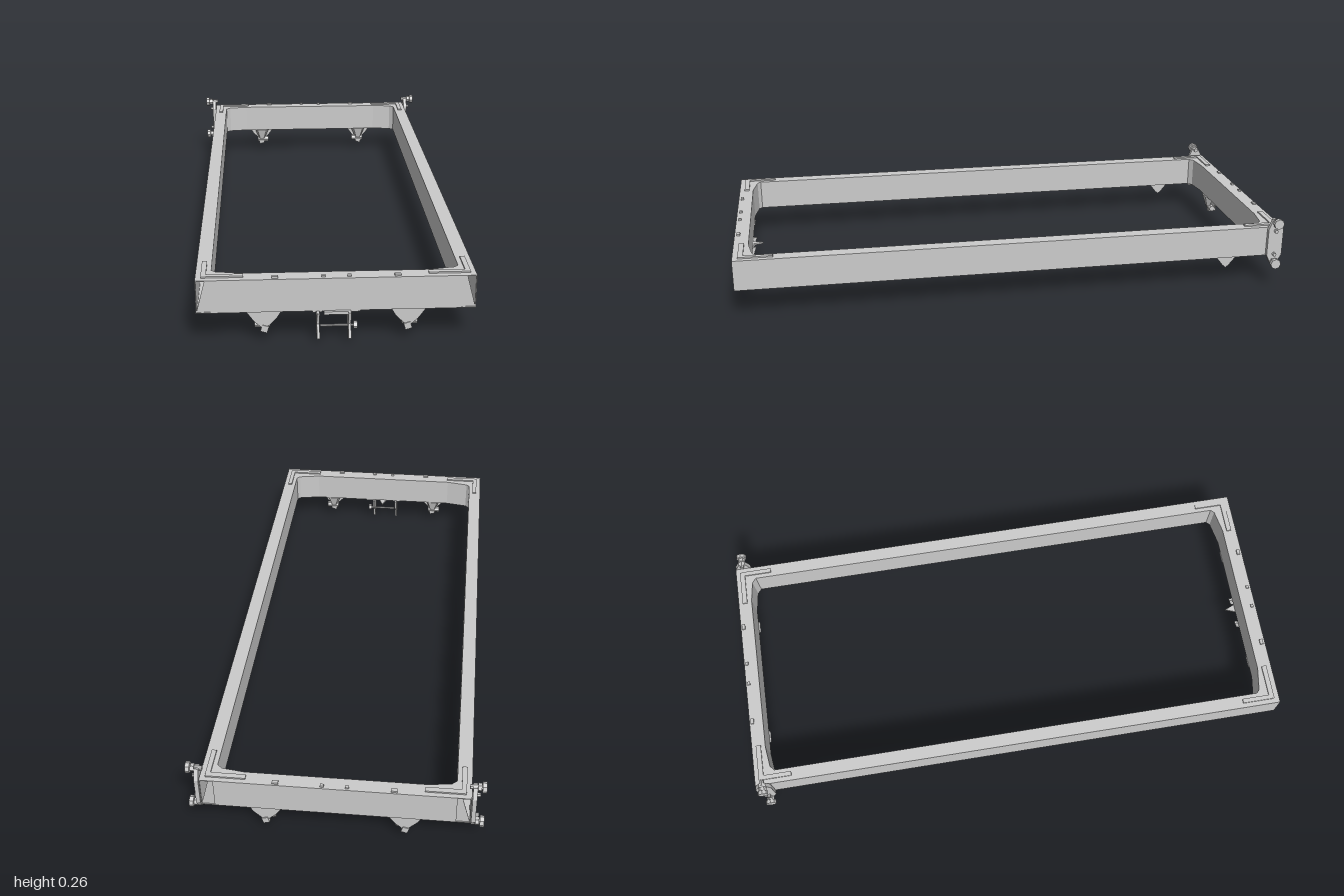
import * as THREE from 'three';

const mat = new THREE.MeshStandardMaterial({ color: 0xcccccc, flatShading: true, side: THREE.DoubleSide });
const BOTTOM = 0.105, TOP = 0.215, MID = 0.16, HEIGHT = 0.11;
const FRONT = 0.975, BACK = -0.995;

function add(parent, name, geometry, x = 0, y = 0, z = 0) {
  const mesh = new THREE.Mesh(geometry, mat);
  mesh.name = name;
  mesh.position.set(x, y, z);
  parent.add(mesh);
  return mesh;
}

const box = (parent, name, w, h, d, x, y, z) => add(parent, name, new THREE.BoxGeometry(w, h, d), x, y, z);

const polygon = (points) => new THREE.Shape(points.map(([x, y]) => new THREE.Vector2(x, y)));

function extrude(points, depth, hole) {
  const shape = polygon(points);
  if (hole) shape.holes.push(polygon(hole));
  return new THREE.ExtrudeGeometry(shape, { depth, bevelEnabled: false });
}

const rect = (x0, y0, x1, y1) => [[x0, y0], [x1, y0], [x1, y1], [x0, y1]];

// Cylinder lying along x
function pin(parent, name, r, length, x, y, z, sides = 8) {
  const mesh = add(parent, name, new THREE.CylinderGeometry(r, r, length, sides), x, y, z);
  mesh.rotation.z = Math.PI / 2;
  return mesh;
}

// Hanging bracket with a tapered body and a bolted knob, top at the origin
function hanger(name) {
  const g = new THREE.Group();
  g.name = name;
  const body = extrude([[-0.055, 0], [0.055, 0], [0.03, -0.035], [0.008, -0.055], [-0.015, -0.05], [-0.04, -0.025]], 0.008);
  add(g, 'bracketPlate', body, 0, 0, 0.012);
  const cone = add(g, 'bracketCone', new THREE.CylinderGeometry(0.035, 0.014, 0.045, 5), 0, -0.022, -0.008);
  cone.scale.z = 0.75;
  pin(g, 'bracketKnob', 0.012, 0.05, 0.005, -0.05, 0, 6);
  box(g, 'bracketNut', 0.022, 0.022, 0.03, -0.002, -0.06, 0.008).rotation.z = 0.3;
  return g;
}

// Vertical latch with spools at both ends, on the outside of a back corner
function cornerLatch() {
  const g = new THREE.Group();
  g.name = 'cornerLatch';
  const plate = extrude([[-0.012, 0.08], [0.012, 0.08], [0.03, 0.11], [0.03, 0.21],
    [0.012, 0.245], [-0.012, 0.245], [-0.026, 0.21], [-0.026, 0.11]], 0.014);
  add(g, 'latchPlate', plate, 0.437, 0, -0.965).rotation.y = Math.PI / 2;
  for (const y of [0.085, 0.24]) {
    pin(g, 'latchPin', 0.008, 0.05, 0.452, y, -0.965);
    pin(g, 'latchHead', 0.019, 0.014, 0.473, y, -0.965);
    pin(g, 'latchCollar', 0.014, 0.012, 0.458, y, -0.965, 6);
  }
  for (const y of [0.115, 0.205]) pin(g, 'latchBolt', 0.007, 0.014, 0.455, y, -0.965, 6);
  return g;
}

export function createModel() {
  const model = new THREE.Group();
  model.name = 'rectangularFrame';

  // Cross beams
  box(model, 'frontBeam', 0.78, HEIGHT, 0.052, 0, MID, FRONT - 0.026);
  box(model, 'backBeam', 0.78, HEIGHT, 0.05, 0, MID, BACK + 0.025);

  for (const s of [-1, 1]) {
    const half = new THREE.Group();
    half.name = s > 0 ? 'leftSide' : 'rightSide';
    model.add(half);
    const px = (pts) => pts.map(([x, y]) => [x * s, y]);

    // Hollow side rail
    const length = FRONT - BACK;
    add(half, 'sideRail', extrude(px(rect(0.387, BOTTOM, 0.435, TOP)), length,
      px(rect(0.39, BOTTOM + 0.003, 0.432, TOP - 0.003))), 0, 0, BACK);

    // Partial end caps leaving a wedge-shaped opening
    const cap = px([[0.385, BOTTOM], [0.434, BOTTOM], [0.405, TOP], [0.385, TOP]]);
    add(half, 'frontEndCap', extrude(cap, 0.003), 0, 0, FRONT - 0.006);
    add(half, 'backEndCap', extrude(cap, 0.003), 0, 0, BACK + 0.003);

    // Gussets in the inner corners (shape drawn in x and -z, laid flat)
    const gusset = (name, pts) => {
      add(half, name, extrude(px(pts), HEIGHT), 0, BOTTOM, 0).rotation.x = -Math.PI / 2;
    };
    gusset('frontGusset', [[0.388, -0.925], [0.28, -0.925], [0.375, -0.908], [0.388, -0.895]]);
    gusset('backGusset', [[0.388, 0.947], [0.28, 0.947], [0.37, 0.935], [0.388, 0.92]]);

    // Thin corner plates above and below
    for (const [z, dir] of [[FRONT - 0.028, -1], [BACK + 0.025, 1]]) {
      for (const y of [TOP + 0.003, BOTTOM - 0.002]) {
        box(half, 'cornerPlateAcross', 0.13, 0.005, 0.018, s * 0.352, y, z);
        box(half, 'cornerPlateAlong', 0.016, 0.005, 0.11, s * 0.41, y, z + dir * 0.055);
      }
      box(half, 'edgeTab', 0.02, 0.008, 0.012, s * 0.19, TOP + 0.002, z - dir * 0.014);
      box(half, 'edgeTab', 0.012, 0.008, 0.01, s * 0.04, TOP + 0.002, z - dir * 0.014);
    }

    // Pointed lug beneath the rail near the back
    const lug = add(half, 'railLug', extrude([[-0.04, 0], [0.04, 0], [0.012, -0.035], [0, -0.045], [-0.012, -0.035]], 0.014),
      s * 0.414 - 0.007, BOTTOM, -0.795);
    lug.rotation.y = Math.PI / 2;

    // Hangers beneath both beams
    for (const z of [FRONT - 0.026, BACK + 0.027]) {
      const h = hanger('beamHanger');
      h.position.set(s * 0.226, BOTTOM, z);
      h.scale.x = s;
      // mirrored hanger also turns outward at the back
      if (z < 0) h.rotation.y = Math.PI;
      half.add(h);
    }

    // Central fork plates beneath the front beam
    const fork = extrude([[-0.045, 0], [0.04, 0], [0.03, -0.04], [0.045, -0.085], [0.005, -0.105],
      [-0.01, -0.06], [-0.03, -0.045]], 0.009);
    add(half, 'forkPlate', fork, s * 0.049 - 0.0045, BOTTOM, 0.955).rotation.y = -Math.PI / 2;
    box(half, 'forkFoot', 0.03, 0.005, 0.045, s * 0.06, BOTTOM - 0.003, 0.95);

    // Corner hardware
    const latch = cornerLatch();
    latch.scale.x = s;
    half.add(latch);
  }

  // Fork pin, its nut and the small centre pointer
  pin(model, 'forkPin', 0.004, 0.11, 0.005, 0.045, 0.955);
  pin(model, 'forkNut', 0.013, 0.012, 0.06, 0.045, 0.955, 6);
  box(model, 'centreBar', 0.08, 0.01, 0.014, 0, BOTTOM - 0.004, 0.978);
  const pointer = extrude([[-0.016, -0.925], [0.016, -0.925], [0, -0.885]], 0.006);
  add(model, 'centrePointer', pointer, 0, BOTTOM - 0.004, 0).rotation.x = -Math.PI / 2;

  return model;
}
